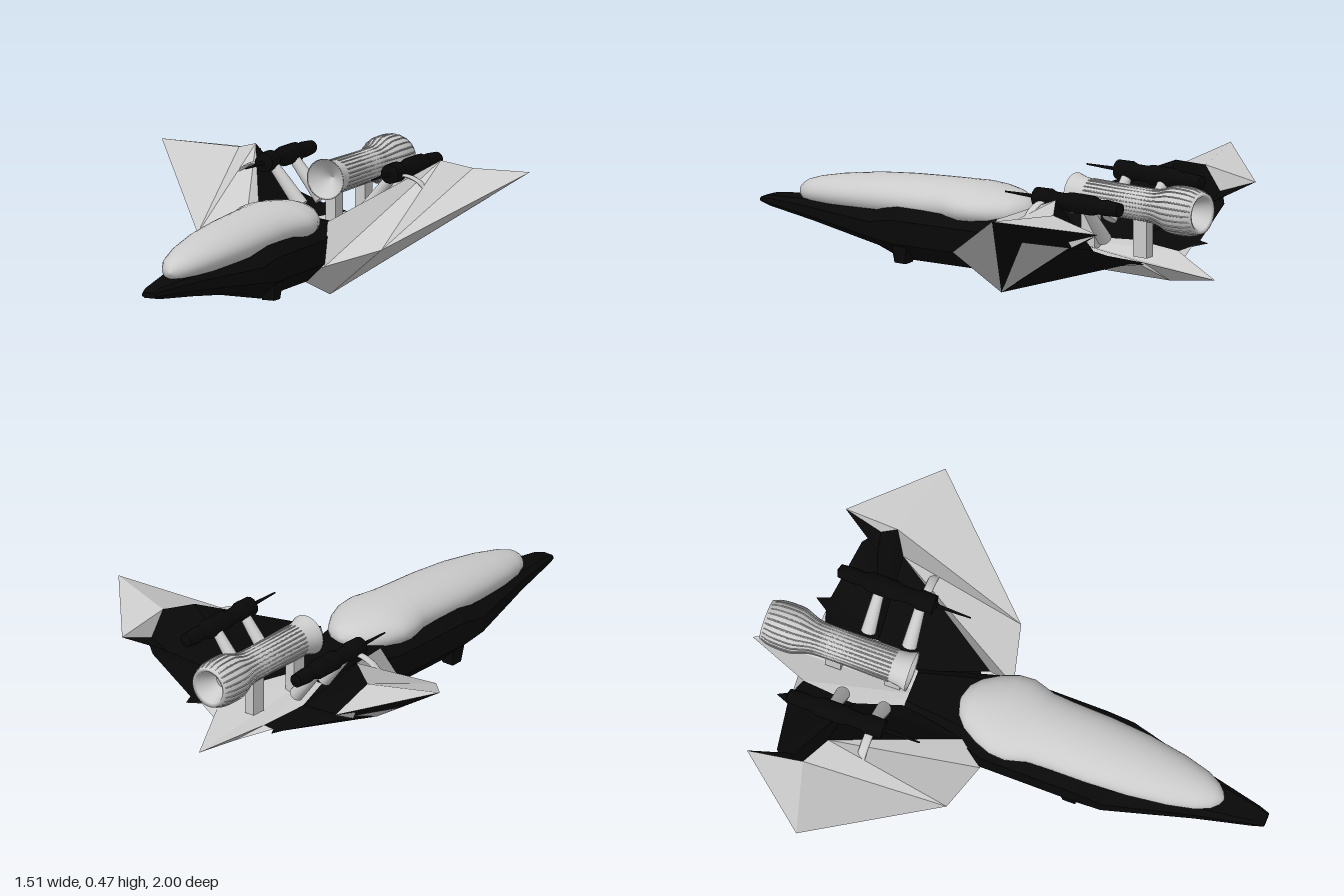
import * as THREE from 'three';

const grey = new THREE.MeshStandardMaterial({ color: 0xcccccc, side: THREE.DoubleSide });
const flatGrey = new THREE.MeshStandardMaterial({ color: 0xcccccc, side: THREE.DoubleSide, flatShading: true });
const black = new THREE.MeshStandardMaterial({ color: 0x080808, side: THREE.DoubleSide, flatShading: true });

function add(parent, name, geometry, material) {
  const mesh = new THREE.Mesh(geometry, material);
  mesh.name = name;
  parent.add(mesh);
  return mesh;
}

// Skin over sections [z, halfWidth, bottom, top], listed nose to tail
function loft(sections, ring) {
  const pos = [], idx = [], n = ring.length;
  for (const [z, w, lo, hi] of sections)
    for (const [u, v] of ring) pos.push(u * w, (lo + hi) / 2 + v * (hi - lo) / 2, z);
  for (let i = 0; i < sections.length - 1; i++)
    for (let j = 0; j < n; j++) {
      const a = i * n + j, b = i * n + (j + 1) % n, c = a + n, d = b + n;
      idx.push(a, c, b, b, c, d);
    }
  const last = (sections.length - 1) * n;
  for (let j = 1; j < n - 1; j++) {
    idx.push(0, j, j + 1);
    idx.push(last, last + j + 1, last + j);
  }
  const g = new THREE.BufferGeometry();
  g.setAttribute('position', new THREE.Float32BufferAttribute(pos, 3));
  g.setIndex(idx);
  g.computeVertexNormals();
  return g;
}

// Flat panels, each a fan around its first corner; side mirrors x
function panels(polygons, side) {
  const pos = [];
  for (const p of polygons)
    for (let i = 1; i < p.length - 1; i++) {
      const tri = side > 0 ? [p[0], p[i], p[i + 1]] : [p[0], p[i + 1], p[i]];
      for (const [x, y, z] of tri) pos.push(x * side, y, z);
    }
  const g = new THREE.BufferGeometry();
  g.setAttribute('position', new THREE.Float32BufferAttribute(pos, 3));
  g.computeVertexNormals();
  return g;
}

// Lathe lying along z from points [radius, z]
function turned(points, segments) {
  const g = new THREE.LatheGeometry(points.map(([r, z]) => new THREE.Vector2(r, z)), segments);
  return g.rotateX(Math.PI / 2);
}

// Tapered rod between two points
function rod(parent, name, from, to, r0, r1, material) {
  const a = new THREE.Vector3(...from), b = new THREE.Vector3(...to);
  const m = add(parent, name, new THREE.CylinderGeometry(r1, r0, a.distanceTo(b), 12), material);
  m.position.copy(a).lerp(b, 0.5);
  m.quaternion.setFromUnitVectors(new THREE.Vector3(0, 1, 0), b.sub(a).normalize());
}

function buildWing(parent, side) {
  const wing = new THREE.Group();
  wing.name = side > 0 ? 'leftWing' : 'rightWing';
  parent.add(wing);
  const root = [0.17, 0.12, -0.05], rootTop = [0.14, 0.27, -0.13], lead = [0.377, 0.19, -0.1];
  const tip = [0.755, 0.44, -0.54], trail = [0.5, 0.38, -0.83], notch = [0.48, 0.42, -0.62];
  const peak = [0.38, 0.45, -0.56], corner = [0.48, 0.31, -0.7], bend = [0.43, 0.3, -0.74];
  const rear = [0.22, 0.21, -0.78], spike = [0.2, 0.21, -0.83], rearIn = [0.17, 0.2, -0.78];
  const chin = [0.14, 0, -0.15];
  const floorFront = [0.07, 0.2, -0.38], floorMid = [0.13, 0.2, -0.56], floorRear = [0.11, 0.19, -0.76];
  const apex = [0, 0.135, -1], keelFront = [0, 0.107, -0.46], keelRear = [0, 0.107, -0.8];
  add(wing, 'wingTop', panels([[peak, rootTop, root, lead], [notch, peak, lead, tip, trail],
    [notch, trail, corner]], side), flatGrey);
  add(wing, 'innerPanel', panels([[floorMid, floorFront, rootTop, peak, notch, corner, bend, rear, spike, rearIn,
    floorRear]], side), black);
  add(wing, 'undersideFront', panels([[chin, root, lead, tip]], side), flatGrey);
  add(wing, 'underside', panels([[chin, tip, trail, corner, bend, rear]], side), black);
  add(wing, 'undersideStripe', panels([[chin, [0.58, 0.33, -0.55], [0.45, 0.3, -0.67]]], side), flatGrey);
  add(wing, 'tailPlate', panels([[keelFront, chin, rear, spike, rearIn, keelRear],
    [keelRear, rearIn, floorRear, apex],
    [[0, 0.2, -0.3], floorFront, floorMid, floorRear, apex],
    [chin, root, [0, 0.08, -0.08], keelFront]], side), flatGrey);
}

function buildGun(parent, side) {
  const gun = new THREE.Group();
  gun.name = side > 0 ? 'leftGun' : 'rightGun';
  parent.add(gun);
  const x = 0.258 * side, y = 0.415;
  const body = add(gun, 'gunBody', turned([[0, -0.77], [0.025, -0.76], [0.03, -0.7], [0.026, -0.67], [0.037, -0.64],
    [0.037, -0.54], [0.03, -0.52], [0.03, -0.47], [0.038, -0.45], [0.036, -0.39], [0, -0.38]], 14), black);
  body.position.set(x, y, 0);
  rod(gun, 'barrel', [x, y, -0.39], [x, y, -0.25], 0.008, 0.003, black);
  // Struts carrying the gun from the inner panel
  for (const z of [-0.6, -0.44]) rod(gun, 'strut', [0.13 * side, 0.26, z], [0.24 * side, 0.395, z], 0.028, 0.02, grey);
  // Drooping stabiliser blade
  const curve = new THREE.CatmullRomCurve3([[0.26, 0.405], [0.31, 0.405], [0.36, 0.385], [0.395, 0.35]]
    .map(([px, py]) => new THREE.Vector3(px * side, py, 0)));
  const blade = add(gun, 'blade', new THREE.TubeGeometry(curve, 12, 0.006, 8), grey);
  blade.scale.z = 2.8;
  blade.position.z = -0.435;
}

export function createModel() {
  const model = new THREE.Group();
  model.name = 'spacecraft';

  // Angular hull
  const octagon = [[1, -0.35], [1, 0.5], [0.72, 1], [-0.72, 1], [-1, 0.5], [-1, -0.35], [-0.6, -1], [0.6, -1]];
  add(model, 'hull', loft([[1, 0.026, 0.155, 0.175], [0.96, 0.038, 0.147, 0.188], [0.75, 0.085, 0.127, 0.205],
    [0.42, 0.17, 0.09, 0.225], [0.32, 0.17, 0.055, 0.262], [-0.05, 0.17, 0.062, 0.27],
    [-0.18, 0.13, 0.09, 0.27], [-0.38, 0.08, 0.15, 0.22]], octagon), black);

  // Smooth canopy
  const round = Array.from({ length: 36 }, (_, i) => [Math.cos(i * Math.PI / 18), Math.sin(i * Math.PI / 18)]);
  add(model, 'canopy', loft([[0.835, 0.004, 0.215, 0.225], [0.825, 0.025, 0.197, 0.246], [0.8, 0.05, 0.185, 0.265],
    [0.75, 0.075, 0.18, 0.283], [0.65, 0.1, 0.178, 0.306], [0.5, 0.122, 0.18, 0.33], [0.35, 0.132, 0.185, 0.345],
    [0.2, 0.135, 0.19, 0.355], [0.12, 0.14, 0.195, 0.359], [0.04, 0.164, 0.2, 0.36], [-0.02, 0.16, 0.205, 0.356],
    [-0.08, 0.137, 0.21, 0.349], [-0.14, 0.1, 0.22, 0.335], [-0.175, 0.06, 0.24, 0.318],
    [-0.19, 0.01, 0.272, 0.29]], round), grey);

  // Engine: flared intake, ribbed tube and bulb with an open nozzle
  const engine = new THREE.Group();
  engine.name = 'engine';
  engine.position.y = 0.376;
  model.add(engine);
  add(engine, 'tube', turned([[0.03, -0.86], [0.062, -0.94], [0.075, -0.945], [0.085, -0.91], [0.087, -0.86],
    [0.085, -0.82], [0.07, -0.78], [0.062, -0.75], [0.06, -0.46], [0.066, -0.41], [0.076, -0.38], [0.07, -0.383],
    [0.045, -0.41], [0, -0.44]], 40), grey);
  add(engine, 'nozzleCore', turned([[0, -0.87], [0.036, -0.86]], 24), grey);
  const ribCurve = new THREE.CatmullRomCurve3([[0.062, -0.45], [0.063, -0.75], [0.072, -0.782], [0.086, -0.82],
    [0.088, -0.87], [0.084, -0.915], [0.074, -0.94]].map(([r, z]) => new THREE.Vector3(0, r, z)));
  const ribGeometry = new THREE.TubeGeometry(ribCurve, 24, 0.0028, 6);
  for (let i = 0; i < 24; i++) add(engine, 'rib', ribGeometry, grey).rotation.z = i * Math.PI / 12;

  // Engine pylons
  for (const z of [-0.45, -0.68]) {
    const pylon = add(model, 'pylon', new THREE.BoxGeometry(0.04, 0.16, 0.06), flatGrey);
    pylon.position.set(0, 0.26, z);
  }

  for (const side of [1, -1]) {
    buildWing(model, side);
    buildGun(model, side);
    // Tapered skids under the hull
    const skid = add(model, 'skid', new THREE.CylinderGeometry(0.05, 0.034, 0.09, 4).rotateY(Math.PI / 4), black);
    skid.position.set(0.13 * side, 0.095, 0.29);
  }
  return model;
}
